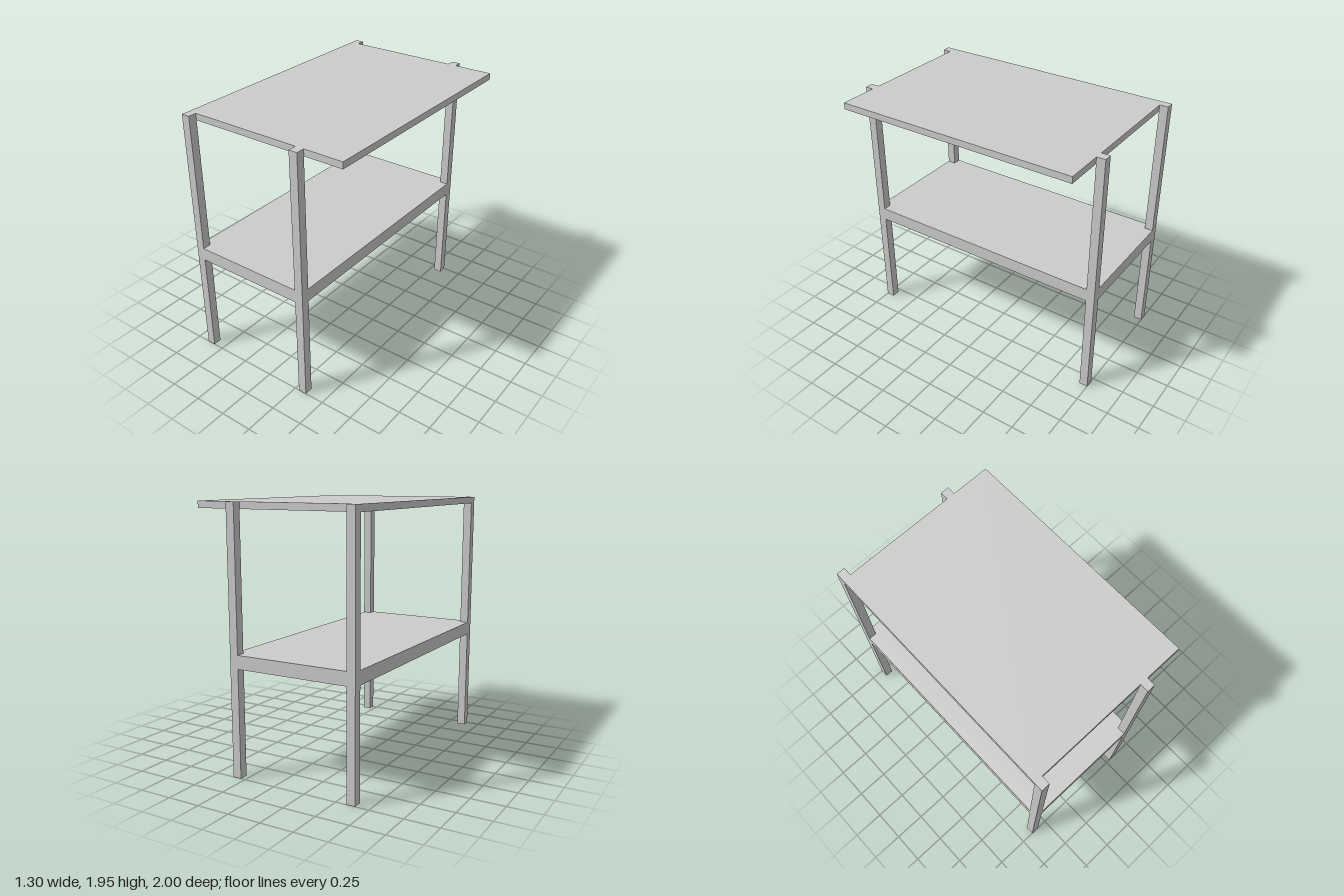
import * as THREE from 'three';

export function createModel() {
  const group = new THREE.Group();
  group.name = 'sideTable';
  const material = new THREE.MeshStandardMaterial({ color: 0xcccccc, flatShading: true });

  const add = (name, geometry, x, y, z) => {
    const mesh = new THREE.Mesh(geometry, material);
    mesh.name = name;
    mesh.position.set(x, y, z);
    group.add(mesh);
  };

  const leg = 0.065, height = 1.95;
  const left = 0.35, right = -0.648, halfDepth = 1;
  const inner = halfDepth - leg;

  // Four square legs
  for (const [side, x] of [['Left', left - leg / 2], ['Right', right + leg / 2]]) {
    for (const [end, s] of [['front', 1], ['back', -1]]) {
      add(`${end}${side}Leg`, new THREE.BoxGeometry(leg, height, leg), x, height / 2, s * (halfDepth - leg / 2));
    }
  }

  // Table top between the leg pairs, overhanging on the left
  const topLeft = 0.648, topThickness = 0.05;
  add('tableTop', new THREE.BoxGeometry(topLeft - right, topThickness, inner * 2),
    (topLeft + right) / 2, height - topThickness / 2, 0);

  // Thick lower shelf, notched at the corners so it sits flush with the legs
  const a = right + leg, b = left - leg;
  const outline = new THREE.Shape([
    [a, -halfDepth], [b, -halfDepth], [b, -inner], [left, -inner],
    [left, inner], [b, inner], [b, halfDepth], [a, halfDepth],
    [a, inner], [right, inner], [right, -inner], [a, -inner],
  ].map(([x, z]) => new THREE.Vector2(x, z)));
  const shelf = new THREE.ExtrudeGeometry(outline, { depth: 0.1, bevelEnabled: false });
  shelf.rotateX(-Math.PI / 2);
  add('lowerShelf', shelf, 0, 0.803, 0);

  return group;
}
